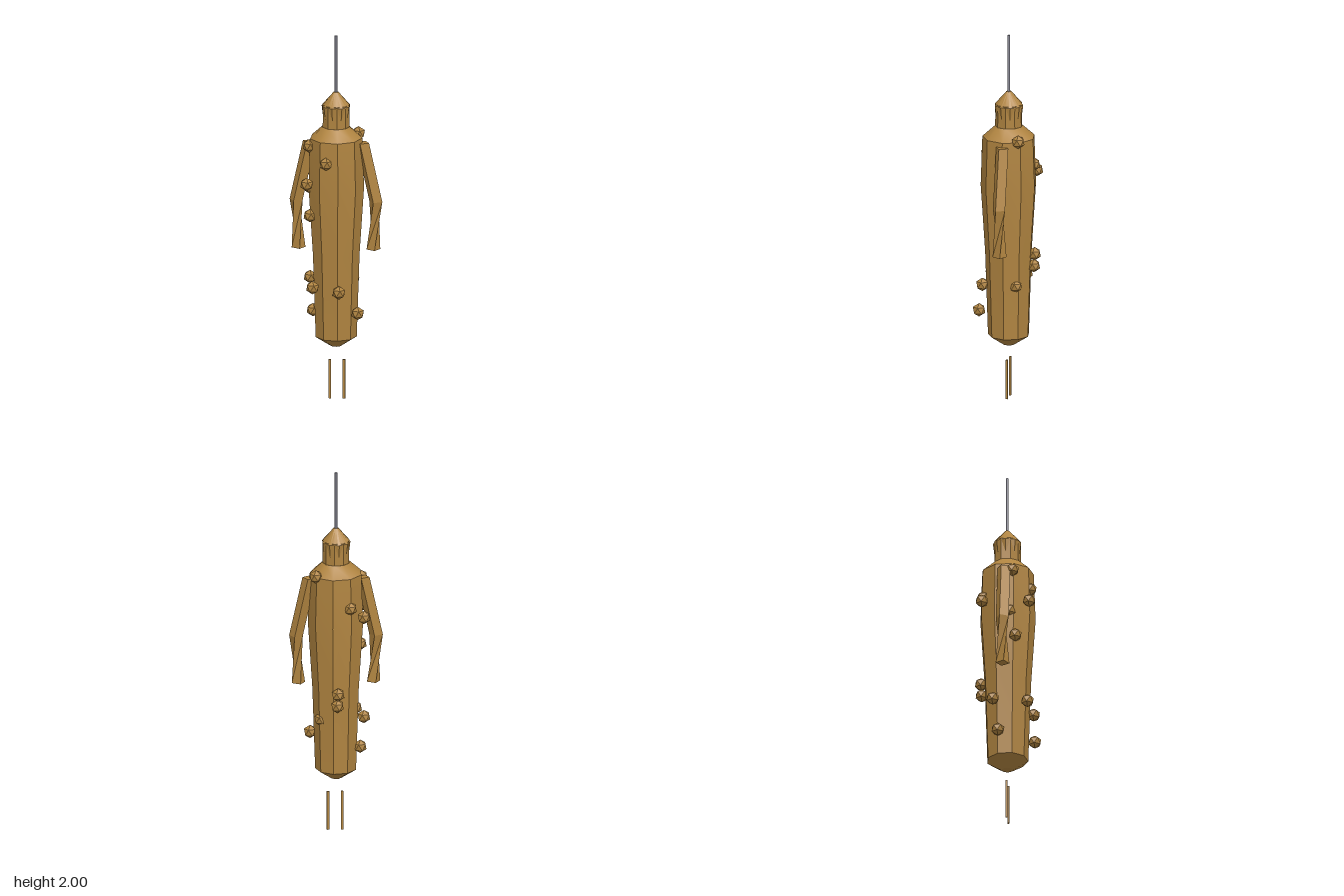
import * as THREE from 'three';
import { toCreasedNormals } from 'three/addons/utils/BufferGeometryUtils.js';

const bark = new THREE.MeshStandardMaterial({ color: 0xb08440 });
bark.name = 'ochre';
const metal = new THREE.MeshStandardMaterial({ color: 0x8a8a96 });
metal.name = 'grey';

function add(parent, name, geometry, material = bark) {
  const mesh = new THREE.Mesh(geometry, material);
  mesh.name = name;
  parent.add(mesh);
  return mesh;
}

// Nine-sided turned form with a corner at +x; points are [radius, y]
function turned(points, turn = 0) {
  const profile = points.map(([r, y]) => new THREE.Vector2(r, y));
  const g = new THREE.LatheGeometry(profile, 9).rotateY(Math.PI / 2 + turn);
  return toCreasedNormals(g, 0.55);
}

// Four-sided limb through rings of { x, y, turn in degrees }
function limb(rings, r) {
  const corner = (ring, i) => {
    const a = THREE.MathUtils.degToRad(ring.turn + i * 90);
    return [ring.x + r * Math.cos(a), ring.y, r * Math.sin(a)];
  };
  const pos = [];
  const tri = (a, b, c) => pos.push(...a, ...b, ...c);
  for (let k = 0; k < rings.length - 1; k++) {
    for (let i = 0; i < 4; i++) {
      const a = corner(rings[k], i), b = corner(rings[k], i + 1);
      const c = corner(rings[k + 1], i), d = corner(rings[k + 1], i + 1);
      tri(a, b, d);
      tri(a, d, c);
    }
  }
  // End caps
  const top = [0, 1, 2, 3].map(i => corner(rings[0], i));
  const end = [0, 1, 2, 3].map(i => corner(rings[rings.length - 1], i));
  tri(top[0], top[2], top[1]);
  tri(top[0], top[3], top[2]);
  tri(end[0], end[1], end[2]);
  tri(end[0], end[2], end[3]);
  const g = new THREE.BufferGeometry();
  g.setAttribute('position', new THREE.Float32BufferAttribute(pos, 3));
  g.computeVertexNormals();
  return g;
}

export function createModel() {
  const model = new THREE.Group();
  model.name = 'figure';

  // Trunk with sloping shoulders and a blunt underside
  add(model, 'body', turned([
    [0, 0.292], [0.03, 0.292], [0.111, 0.345], [0.126, 0.8],
    [0.15, 1.17], [0.141, 1.44], [0.074, 1.5], [0, 1.5],
  ]));

  // Head and an offset hood whose corners cut through it as pointed teeth
  add(model, 'head', turned([
    [0.073, 1.49], [0.072, 1.55], [0.073, 1.622], [0.013, 1.69], [0, 1.69],
  ]));
  add(model, 'hood', turned([
    [0, 1.52], [0.065, 1.52], [0.077, 1.615], [0.013, 1.69], [0, 1.69],
  ], Math.PI / 9));

  // Thin rod above the head
  add(model, 'topRod', new THREE.CylinderGeometry(0.007, 0.007, 0.315, 16), metal)
    .position.y = 1.8425;

  // Twisted arms, the right one turned half round
  const armRings = [
    { x: 0.142, y: 1.415, turn: 15 },
    { x: 0.213, y: 1.092, turn: 15 },
    { x: 0.2, y: 0.828, turn: 75 },
  ];
  for (const [name, turn] of [['leftArm', 0], ['rightArm', Math.PI]]) {
    add(model, name, limb(armRings, 0.037)).rotation.y = turn;
  }

  // Detached stick legs
  add(model, 'leftLeg', new THREE.BoxGeometry(0.015, 0.215, 0.01)).position.set(0.042, 0.1075, 0);
  add(model, 'rightLeg', new THREE.BoxGeometry(0.011, 0.215, 0.01)).position.set(-0.033, 0.1075, 0);

  // Faceted knots scattered around the trunk, each with a corner straight up
  const knots = new THREE.Group();
  knots.name = 'knots';
  model.add(knots);
  const knotGeometry = new THREE.IcosahedronGeometry(0.037, 0).rotateZ(-0.5536);
  const places = [
    [0.112, 1.445, -0.08], [-0.138, 1.4, 0.045], [-0.04, 1.325, 0.128],
    [-0.07, 1.275, -0.12], [-0.142, 1.225, -0.118], [-0.142, 1.212, 0.135],
    [-0.13, 1.165, 0.03], [-0.133, 1.02, 0.06], [-0.003, 0.8, -0.14],
    [0, 0.735, -0.137], [-0.145, 0.65, -0.06], [-0.112, 0.64, 0.122],
    [0.03, 0.62, 0.137], [0.085, 0.64, -0.06], [0.13, 0.508, 0.13],
    [-0.127, 0.475, -0.035],
  ];
  for (const [x, y, z] of places) add(knots, 'knot', knotGeometry).position.set(x, y, z);

  return model;
}
